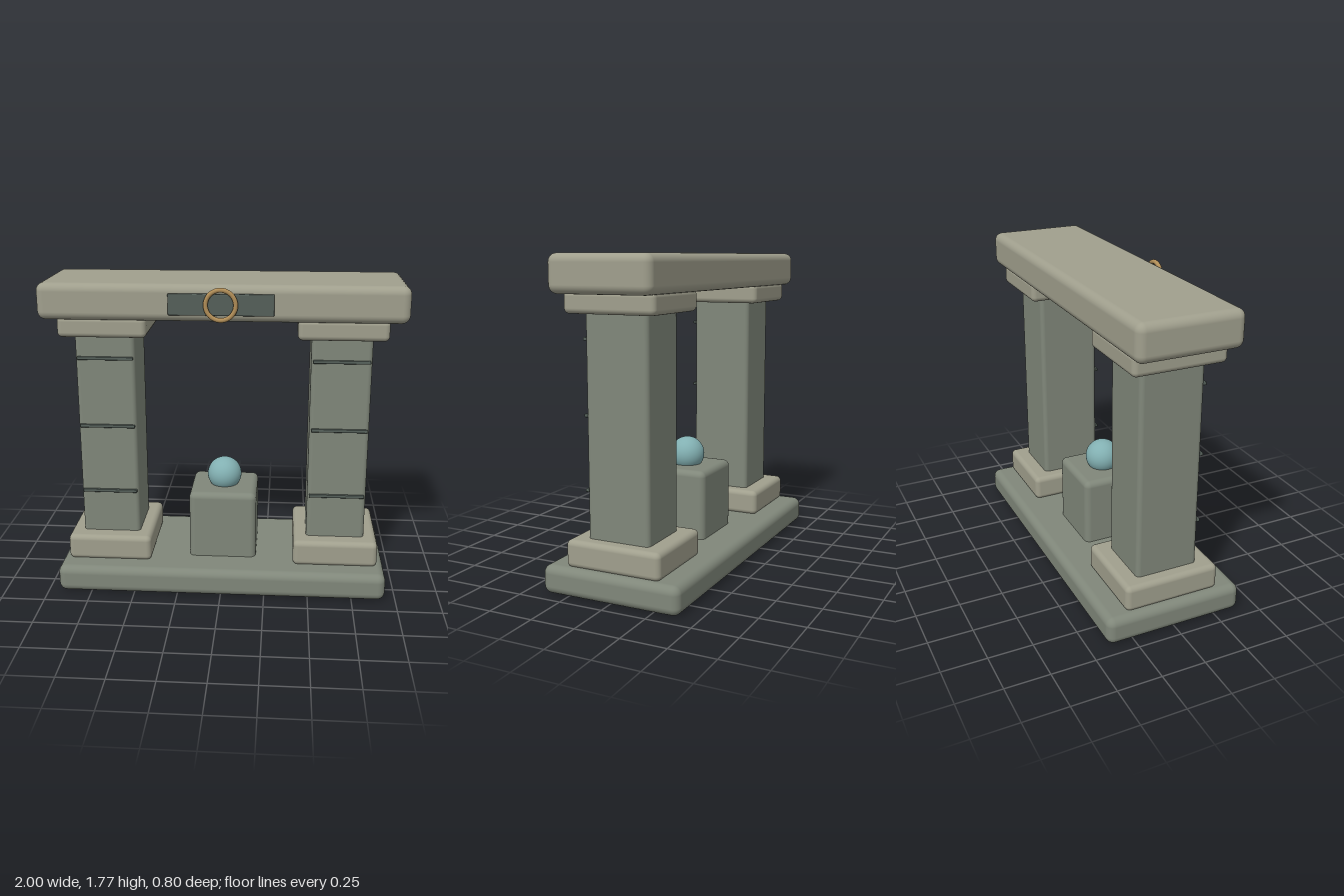
import * as THREE from 'three';
import { RoundedBoxGeometry } from 'three/addons/geometries/RoundedBoxGeometry.js';

const material = (color) => new THREE.MeshStandardMaterial({ color });

export function createModel() {
  const group = new THREE.Group();
  const stone = material(0x80877a);
  const paleStone = material(0xa09f8d);
  const darkStone = material(0x55605a);
  const gold = material(0xb08d57);
  const crystal = material(0x82b0b2);

  const add = (name, geometry, mat, x, y, z, parent = group) => {
    const mesh = new THREE.Mesh(geometry, mat);
    mesh.name = name;
    mesh.position.set(x, y, z);
    parent.add(mesh);
    return mesh;
  };

  // Rounded block given by its bottom and top heights
  const block = (name, mat, x, bottom, top, width, depth, radius, parent) =>
    add(name, new RoundedBoxGeometry(width, top - bottom, depth, 4, radius),
      mat, x, (bottom + top) / 2, 0, parent);

  // Floor slab and top beam
  block('baseSlab', stone, 0, 0, 0.157, 1.88, 0.8, 0.045);
  block('lintel', paleStone, 0, 1.575, 1.775, 2, 0.58, 0.045);

  // Two columns, each with foot, capital and three thin grooves on the front
  for (const side of [-1, 1]) {
    const column = new THREE.Group();
    column.name = side > 0 ? 'leftColumn' : 'rightColumn';
    column.position.x = side * 0.655;
    group.add(column);
    block('foot', paleStone, 0, 0.15, 0.3, 0.485, 0.55, 0.03, column);
    block('shaft', stone, 0, 0.27, 1.5, 0.335, 0.36, 0.025, column);
    block('capital', paleStone, 0, 1.475, 1.59, 0.49, 0.52, 0.028, column);
    for (const y of [0.555, 0.95, 1.345]) {
      add('band', new RoundedBoxGeometry(0.315, 0.018, 0.02, 2, 0.005),
        darkStone, 0, y, 0.187, column);
    }
  }

  // Pedestal with the orb sunk into its top
  block('pedestal', stone, 0, 0.12, 0.552, 0.39, 0.39, 0.035);
  add('orb', new THREE.SphereGeometry(0.1, 40, 28), crystal, 0, 0.61, 0);

  // Plaque and ring on the front of the lintel
  add('plaque', new RoundedBoxGeometry(0.565, 0.115, 0.024, 2, 0.006),
    darkStone, 0, 1.673, 0.299);
  add('ring', new THREE.TorusGeometry(0.08, 0.0125, 16, 48), gold, 0, 1.675, 0.325);

  return group;
}
